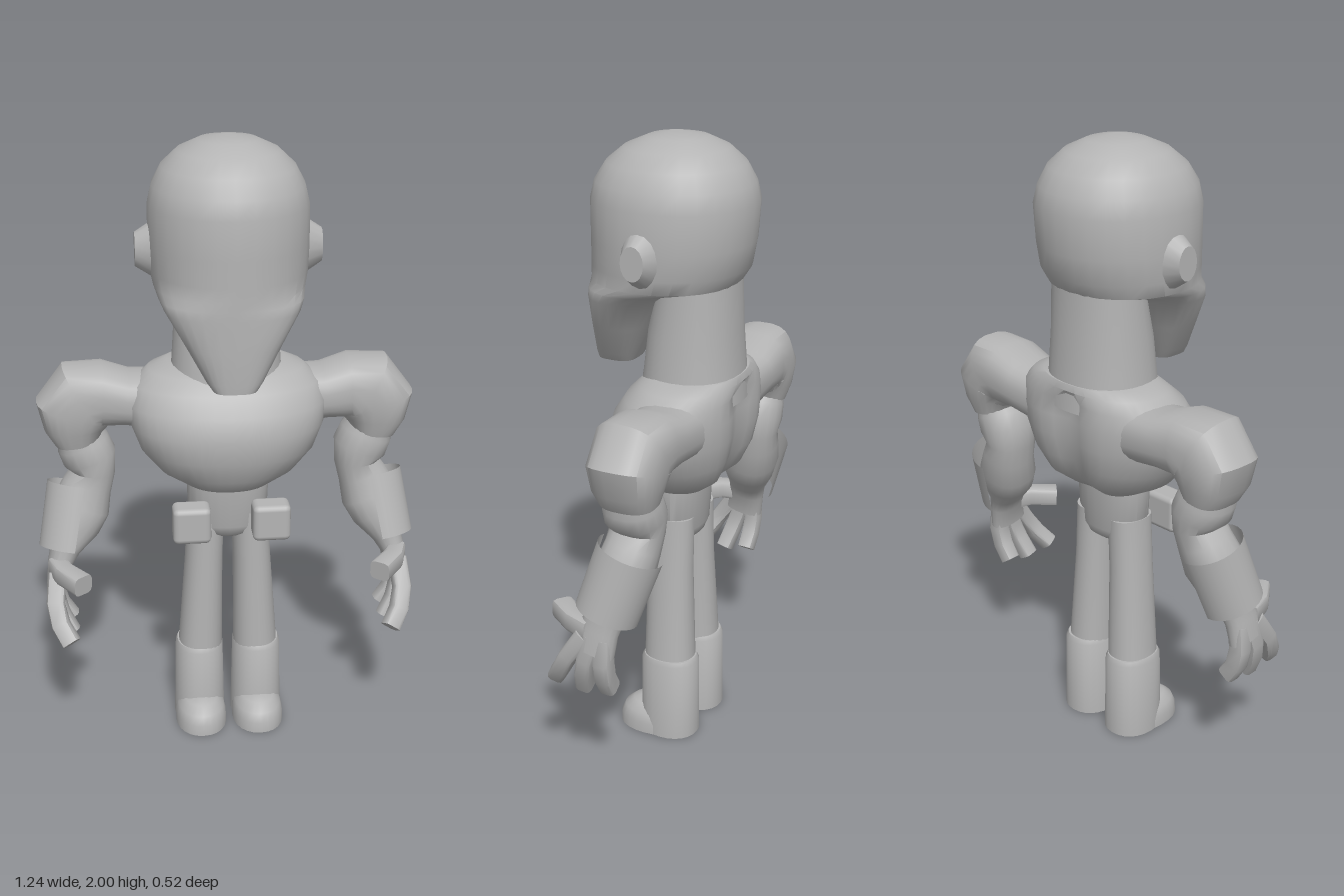
import * as THREE from 'three';
import { toCreasedNormals } from 'three/addons/utils/BufferGeometryUtils.js';
import { RoundedBoxGeometry } from 'three/addons/geometries/RoundedBoxGeometry.js';

const grey = new THREE.MeshStandardMaterial({ color: 0xb4b4b4, side: THREE.DoubleSide });
grey.name = 'plain grey';

const part = (name, geometry) => {
  const mesh = new THREE.Mesh(geometry, grey);
  mesh.name = name;
  return mesh;
};

// Rounded-square curve: n = 2 is an ellipse, larger n is boxier
const power = (v, n) => Math.sign(v) * Math.abs(v) ** (2 / n);

// Closed skin over a list of equal-length rings
function skin(rings, crease = 0.75) {
  const n = rings[0].length, pos = [], index = [];
  rings.forEach(r => r.forEach(p => pos.push(p.x, p.y, p.z)));
  for (let i = 0; i < rings.length - 1; i++)
    for (let j = 0; j < n; j++) {
      const a = i * n + j, b = i * n + (j + 1) % n;
      index.push(a, a + n, b, b, a + n, b + n);
    }
  [0, rings.length - 1].forEach((r, end) => {
    const c = new THREE.Vector3();
    rings[r].forEach(p => c.addScaledVector(p, 1 / n));
    const k = pos.length / 3;
    pos.push(c.x, c.y, c.z);
    for (let j = 0; j < n; j++) {
      const a = r * n + j, b = r * n + (j + 1) % n;
      index.push(k, end ? b : a, end ? a : b);
    }
  });
  const g = new THREE.BufferGeometry();
  g.setAttribute('position', new THREE.Float32BufferAttribute(pos, 3));
  g.setIndex(index);
  return toCreasedNormals(g, crease);
}

// Upright stack of sections: [y, half width, front z, back z, boxiness]
function stack(sections, cx = 0, sides = 28, rule = null) {
  return skin(sections.map(([y, w, zf, zb, n = 2.2]) =>
    Array.from({ length: sides }, (_, j) => {
      const t = j / sides * Math.PI * 2;
      const p = new THREE.Vector3(cx + w * power(Math.cos(t), n), y,
        (zf + zb) / 2 + (zf - zb) / 2 * power(Math.sin(t), n));
      if (rule) rule(p);
      return p;
    })));
}

// Limb swept along stations: [x, y, z, half size across, half size along ref]
function sweep(stations, s, { n = 2.2, sides = 18, ref = [0, 0, 1] } = {}) {
  const c = stations.map(([x, y, z]) => new THREE.Vector3(x * s, y, z));
  const last = c.length - 1;
  return skin(stations.map(([, , , a, b], i) => {
    const T = c[Math.min(i + 1, last)].clone().sub(c[Math.max(i - 1, 0)]).normalize();
    const V = new THREE.Vector3(...ref);
    V.addScaledVector(T, -V.dot(T)).normalize();
    const U = T.clone().cross(V);
    return Array.from({ length: sides }, (_, j) => {
      const t = (j + 0.5) / sides * Math.PI * 2;
      return c[i].clone().addScaledVector(U, a * power(Math.cos(t), n))
        .addScaledVector(V, b * power(Math.sin(t), n));
    });
  }));
}

function buildArm(s) {
  const arm = new THREE.Group();
  arm.name = s > 0 ? 'leftArm' : 'rightArm';
  arm.add(part('shoulder', sweep([
    [0.2, 1.14, -0.09, 0.09, 0.11], [0.32, 1.15, -0.09, 0.085, 0.11],
    [0.4, 1.165, -0.09, 0.1, 0.115], [0.46, 1.155, -0.085, 0.125, 0.115],
    [0.488, 1.115, -0.085, 0.125, 0.115], [0.488, 1.06, -0.085, 0.098, 0.105],
    [0.482, 1.01, -0.085, 0.072, 0.09]], s, { n: 2.6, sides: 24 })));
  arm.add(part('upperArmAndForearm', sweep([
    [0.48, 1.06, -0.085, 0.06, 0.08], [0.465, 1.0, -0.085, 0.085, 0.092],
    [0.445, 0.95, -0.085, 0.088, 0.095], [0.435, 0.9, -0.085, 0.072, 0.085],
    [0.455, 0.85, -0.08, 0.08, 0.085], [0.48, 0.78, -0.065, 0.096, 0.09],
    [0.505, 0.72, -0.045, 0.085, 0.085], [0.535, 0.65, -0.025, 0.05, 0.065],
    [0.555, 0.6, -0.015, 0.04, 0.062], [0.565, 0.53, 0, 0.036, 0.068]], s)));

  // Half-round guard on the outside of the forearm
  const cuff = part('cuff', new THREE.CylinderGeometry(0.104, 0.1, 0.215, 16, 1, true,
    (s > 0 ? 0 : Math.PI) - 0.15, Math.PI + 0.3));
  cuff.position.set(0.502 * s, 0.748, -0.055);
  cuff.quaternion.setFromUnitVectors(new THREE.Vector3(0, 1, 0),
    new THREE.Vector3(-0.04 * s, 0.21, -0.065).normalize());
  arm.add(cuff);

  // Three fingers fan out and curl inward: [root z, tip z, tip y]
  [[0.035, 0.155, 0.39], [0, 0.055, 0.378], [-0.04, -0.03, 0.39]].forEach(([z0, z1, y1], i) =>
    arm.add(part('finger' + (i + 1), sweep([
      [0.565, 0.58, z0 * 0.8, 0.03, 0.03], [0.573, 0.5, z0 + (z1 - z0) * 0.4, 0.03, 0.028],
      [0.558, 0.44, z0 + (z1 - z0) * 0.7, 0.03, 0.028],
      [0.525, y1, z1, 0.03, 0.027]], s, { n: 4, sides: 12 }))));
  arm.add(part('thumb', sweep([
    [0.565, 0.6, 0.01, 0.03, 0.035], [0.54, 0.605, 0.08, 0.033, 0.033],
    [0.48, 0.6, 0.155, 0.035, 0.033]], s, { n: 4, sides: 12, ref: [0, 1, 0] })));
  return arm;
}

function buildLeg(s) {
  const leg = new THREE.Group();
  leg.name = s > 0 ? 'leftLeg' : 'rightLeg';
  leg.add(part('trouserLeg', sweep([
    [0.094, 0.25, -0.025, 0.074, 0.085], [0.08, 0.6, -0.02, 0.062, 0.075],
    [0.072, 0.78, -0.02, 0.06, 0.075]], s, { sides: 24 })));
  leg.add(part('boot', stack([
    [0, 0.086, 0.07, -0.125], [0.27, 0.08, 0.068, -0.123],
    [0.285, 0.074, 0.06, -0.115]], 0.097 * s, 24)));
  leg.add(part('foot', stack([
    [0, 0.086, 0.15, -0.09], [0.035, 0.085, 0.148, -0.09], [0.065, 0.077, 0.135, -0.08],
    [0.09, 0.056, 0.105, -0.06], [0.1, 0.025, 0.075, -0.02]], 0.097 * s, 24)));
  // Belt pouch
  const pouch = part('pouch', new RoundedBoxGeometry(0.122, 0.122, 0.085, 2, 0.018));
  pouch.position.set(0.128 * s, 0.78, 0.1);
  leg.add(pouch);
  return leg;
}

export function createModel() {
  const model = new THREE.Group();
  model.name = 'figure';

  // Long-chinned head: flat mask front, wedge chin, domed crown
  model.add(part('head', stack([
    [1.272, 0.068, 0.255, 0.13, 3.2], [1.3, 0.088, 0.257, 0.115, 3],
    [1.4, 0.145, 0.258, 0.06, 2.6], [1.5, 0.205, 0.259, 0, 2.3],
    [1.53, 0.22, 0.259, -0.06, 2.2], [1.555, 0.232, 0.259, -0.205, 2.1],
    [1.6, 0.242, 0.259, -0.235, 2.05], [1.68, 0.246, 0.259, -0.25, 2.05],
    [1.8, 0.245, 0.258, -0.258, 2.1], [1.855, 0.232, 0.245, -0.245, 2.1],
    [1.91, 0.203, 0.21, -0.215, 2.1], [1.955, 0.155, 0.155, -0.165, 2.1],
    [1.985, 0.09, 0.085, -0.1], [2, 0.01, 0.01, -0.01]])));
  for (const s of [1, -1]) {
    const ear = part(s > 0 ? 'leftEar' : 'rightEar', new THREE.CylinderGeometry(0.038, 0.066, 0.06, 16));
    ear.scale.z = 1;
    ear.geometry.scale(1.4, 1, 1);
    ear.rotation.z = -s * Math.PI / 2;
    ear.position.set(s * 0.255, 1.66, 0.005);
    model.add(ear);
  }

  model.add(part('neck', stack([
    [1.18, 0.185, 0.1, -0.228], [1.27, 0.175, 0.085, -0.222],
    [1.4, 0.166, 0.07, -0.212], [1.57, 0.155, 0.03, -0.205]])));

  // Chest with a shallow groove down the spine
  model.add(part('chest', stack([
    [0.872, 0.08, 0.07, -0.1], [0.885, 0.14, 0.11, -0.15], [0.93, 0.22, 0.142, -0.2],
    [1, 0.28, 0.166, -0.228], [1.08, 0.31, 0.176, -0.243], [1.15, 0.318, 0.155, -0.245],
    [1.21, 0.3, 0.115, -0.24], [1.25, 0.25, 0.075, -0.232], [1.27, 0.19, 0.05, -0.225]], 0, 40,
    p => { if (p.z < -0.08 && p.y < 1.22) p.z += 0.035 * Math.exp(-((p.x / 0.07) ** 2)); })));

  model.add(part('pelvis', stack([
    [0.69, 0.06, 0.03, -0.07], [0.705, 0.1, 0.05, -0.09], [0.735, 0.128, 0.06, -0.1],
    [0.9, 0.135, 0.07, -0.11]])));

  for (const s of [1, -1]) model.add(buildArm(s), buildLeg(s));
  return model;
}
